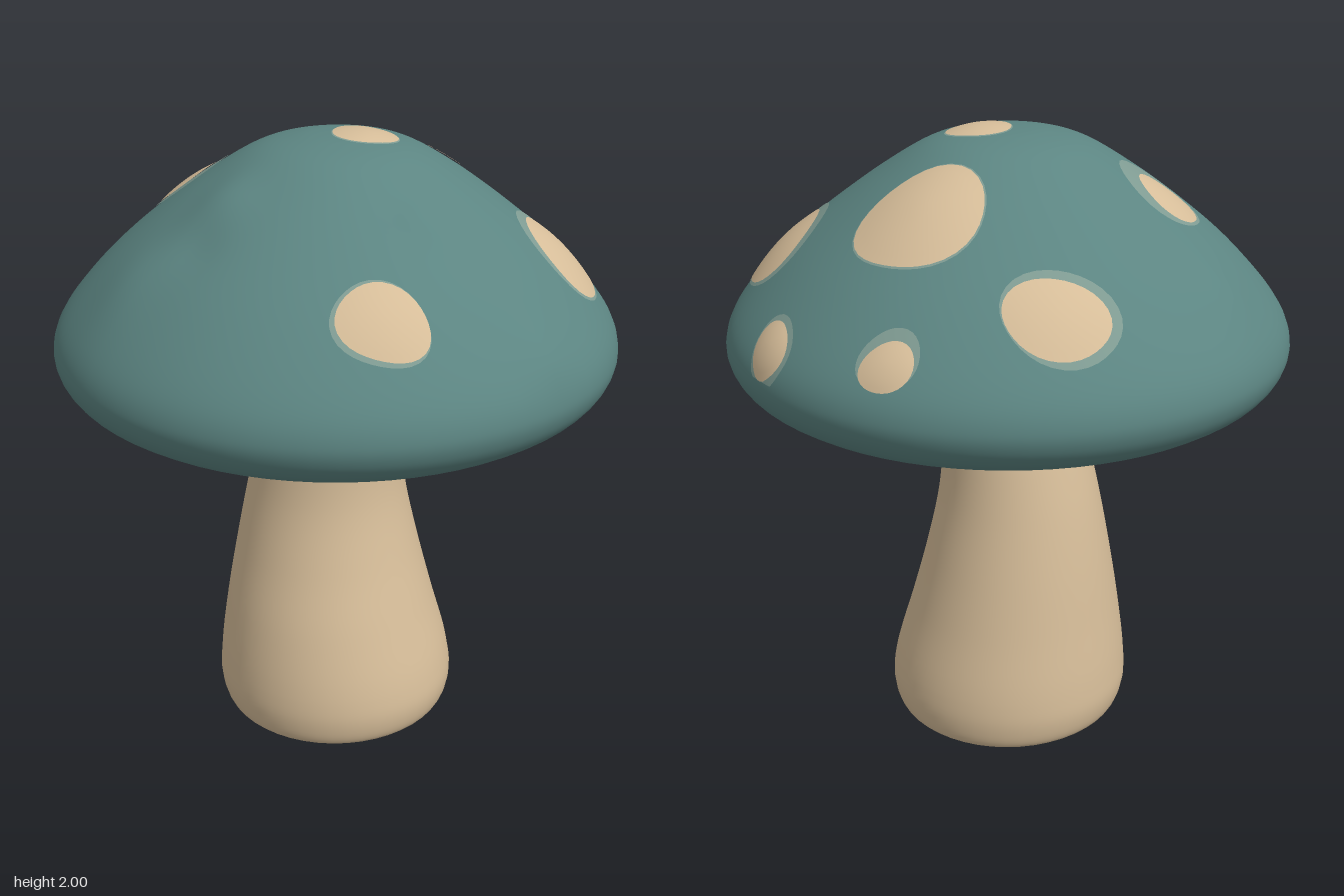
import * as THREE from 'three';
import { mergeVertices } from 'three/addons/utils/BufferGeometryUtils.js';

const curve = (pts, n) => new THREE.SplineCurve(pts.map(p => new THREE.Vector2(...p))).getPoints(n);

// Cap profiles: painted top with its rolled rim, and the paler underside
const topProfile = curve([[0.79, 1.205], [0.84, 1.24], [0.875, 1.29], [0.885, 1.35], [0.86, 1.425], [0.79, 1.52],
  [0.68, 1.635], [0.55, 1.745], [0.4, 1.855], [0.25, 1.945], [0.12, 1.98], [0, 1.988]], 90);
const underProfile = curve([[0.1, 1.165], [0.3, 1.165], [0.5, 1.175], [0.68, 1.188], [0.79, 1.205]], 24);

// Gentle lumps on the cap: x, z, radius, height
const lumps = [[-0.72, -0.2, 0.09, 0.02], [-0.2, 0.38, 0.1, 0.02], [-0.2, 0.5, 0.07, -0.012], [-0.42, 0.58, 0.12, 0.018],
  [0.38, 0.24, 0.06, 0.015], [0.78, 0.28, 0.08, 0.02], [0.13, -0.44, 0.2, 0.012], [0.65, -0.22, 0.14, 0.012]];
const lump = (x, z) => lumps.reduce((s, [a, b, r, h]) => s + h * Math.exp(-((x - a) ** 2 + (z - b) ** 2) / (r * r)), 0);

// Height of a profile at a given radius
function heightAt(profile, r) {
  for (let i = 1; i < profile.length; i++) {
    const a = profile[i - 1], b = profile[i];
    if ((a.x - r) * (b.x - r) <= 0 && a.x !== b.x) return a.y + (b.y - a.y) * (r - a.x) / (b.x - a.x);
  }
  return profile[0].y;
}
const upper = topProfile.filter(p => p.y > 1.35);
const rimRadius = upper[0].x - 0.002;

// Smooth shading without a seam
function smooth(geo) {
  geo.deleteAttribute('uv');
  geo.deleteAttribute('normal');
  const g = mergeVertices(geo, 1e-5);
  g.computeVertexNormals();
  return g;
}

function capTop() {
  const g = new THREE.LatheGeometry(topProfile, 72);
  const p = g.attributes.position;
  for (let i = 0; i < p.count; i++) {
    const w = THREE.MathUtils.smoothstep(p.getY(i), 1.33, 1.45);
    p.setY(i, p.getY(i) + w * lump(p.getX(i), p.getZ(i)));
  }
  return smooth(g);
}

// Thin oval draped over the cap top, or under it when below is true
function spot(cx, cz, rx, rz, deg, lift, dome, below = false) {
  const g = new THREE.RingGeometry(0, 1, 32, 6);
  const p = g.attributes.position;
  const a = THREE.MathUtils.degToRad(deg), c = Math.cos(a), s = Math.sin(a);
  for (let i = 0; i < p.count; i++) {
    const u = p.getX(i), v = p.getY(i);
    const t = u * u + v * v, wob = 1 + 0.04 * Math.sin(3 * Math.atan2(v, u) + cx * 9) * t;
    const lx = (u * rx * c - v * rz * s) * wob, ly = (u * rx * s + v * rz * c) * wob;
    let x = cx + lx, z = below ? cz + ly : cz - ly;
    const off = lift + dome * (1 - t);
    let r = Math.hypot(x, z);
    if (below) {
      p.setXYZ(i, x, heightAt(underProfile, r) - off, z);
      continue;
    }
    if (r > rimRadius) { x *= rimRadius / r; z *= rimRadius / r; r = rimRadius; }
    const y = heightAt(upper, r);
    const w = THREE.MathUtils.smoothstep(y, 1.33, 1.45);
    const slope = (heightAt(upper, Math.max(r - 0.015, 0.001)) - y) / 0.015;
    const n = Math.hypot(slope, 1), k = r > 0 ? off * slope / n / r : 0;
    p.setXYZ(i, x + x * k, y + w * lump(x, z) + off / n, z + z * k);
  }
  return smooth(g);
}

// Leaning stem swept through oval sections: y, -x edge, +x edge, -z edge, +z edge
function stem() {
  const rows = [[0.004, -0.34, 0.33, -0.36, 0.33], [0.03, -0.38, 0.37, -0.395, 0.37], [0.1, -0.403, 0.39, -0.412, 0.388],
    [0.2, -0.4, 0.378, -0.408, 0.384], [0.4, -0.375, 0.32, -0.37, 0.345], [0.6, -0.345, 0.264, -0.33, 0.29],
    [0.8, -0.308, 0.22, -0.288, 0.243], [0.95, -0.272, 0.208, -0.26, 0.224], [1.08, -0.237, 0.217, -0.24, 0.216],
    [1.13, -0.235, 0.24, -0.245, 0.225], [1.16, -0.27, 0.28, -0.28, 0.27], [1.18, -0.29, 0.3, -0.3, 0.29]];
  const ks = [0, 1, 2, 3, 4].map(j => new THREE.CatmullRomCurve3(
    rows.map(r => new THREE.Vector3(r[0], r[j], 0)), false, 'centripetal'));
  const n = 66;
  const g = new THREE.CylinderGeometry(1, 1, 1, 48, n, true);
  const p = g.attributes.position;
  for (let i = 0; i < p.count; i++) {
    const t = Math.min(Math.max(p.getY(i) + 0.5, 0), 1);
    const [y, x0, x1, z0, z1] = ks.map((k, j) => (j ? k.getPoint(t).y : k.getPoint(t).x));
    p.setXYZ(i, (x0 + x1) / 2 + p.getX(i) * (x1 - x0) / 2, y, (z0 + z1) / 2 + p.getZ(i) * (z1 - z0) / 2);
  }
  return smooth(g);
}

export function createModel() {
  const group = new THREE.Group();
  const material = (name, color) => {
    const m = new THREE.MeshStandardMaterial({ color });
    m.name = name;
    return m;
  };
  const teal = material('capTeal', 0x5c8582);
  const tan = material('creamTan', 0xd6bd99);
  const halo = material('spotHalo', 0x7f9b92);
  const grey = material('undersideGrey', 0x8b9690);
  const add = (name, geo, mat) => {
    const m = new THREE.Mesh(geo, mat);
    m.name = name;
    group.add(m);
    return m;
  };

  add('capTop', capTop(), teal);
  add('capUnderside', smooth(new THREE.LatheGeometry(underProfile, 72)), grey);
  add('stem', stem(), tan);

  // Flat foot of the stem
  const foot = add('stemFoot', new THREE.CircleGeometry(1, 48), tan);
  foot.rotation.x = Math.PI / 2;
  foot.scale.set(0.336, 0.346, 1);
  foot.position.set(-0.005, 0.003, -0.015);

  // Cap spots: x, z, radii, turn, then halo shift in x and z and halo growth
  const spots = [
    [0.08, -0.03, 0.1, 0.095, 0, 0, 0, 0.004],
    [0.13, -0.44, 0.19, 0.155, 0, 0, 0, 0.005],
    [-0.315, -0.625, 0.15, 0.09, 20, -0.01, 0.01, 0.018],
    [0.11, -0.805, 0.08, 0.046, 0, 0, 0.015, 0.012],
    [0.515, -0.66, 0.08, 0.046, -45, -0.004, 0, 0.012],
    [0.655, -0.22, 0.165, 0.11, -68, -0.012, 0, 0.018],
    [-0.49, 0.035, 0.088, 0.1, 0, 0.025, 0, 0.035],
    [0.39, 0.56, 0.13, 0.088, 25, -0.005, 0.005, 0.008],
  ];
  for (const [x, z, rx, rz, deg, hx, hz, grow] of spots) {
    add('spotHalo', spot(x + hx, z + hz, rx + grow, rz + grow, deg, 0.003, 0), halo);
    add('capSpot', spot(x, z, rx, rz, deg, 0.005, 0.008), tan);
  }

  // Patches under the cap
  for (const [x, z, rx, rz, deg] of [[0.47, 0.03, 0.2, 0.13, -25], [-0.07, 0.66, 0.12, 0.1, 0], [-0.42, 0.09, 0.12, 0.1, 0]])
    add('undersideSpot', spot(x, z, rx, rz, deg, 0.004, 0, true), tan);

  return group;
}
